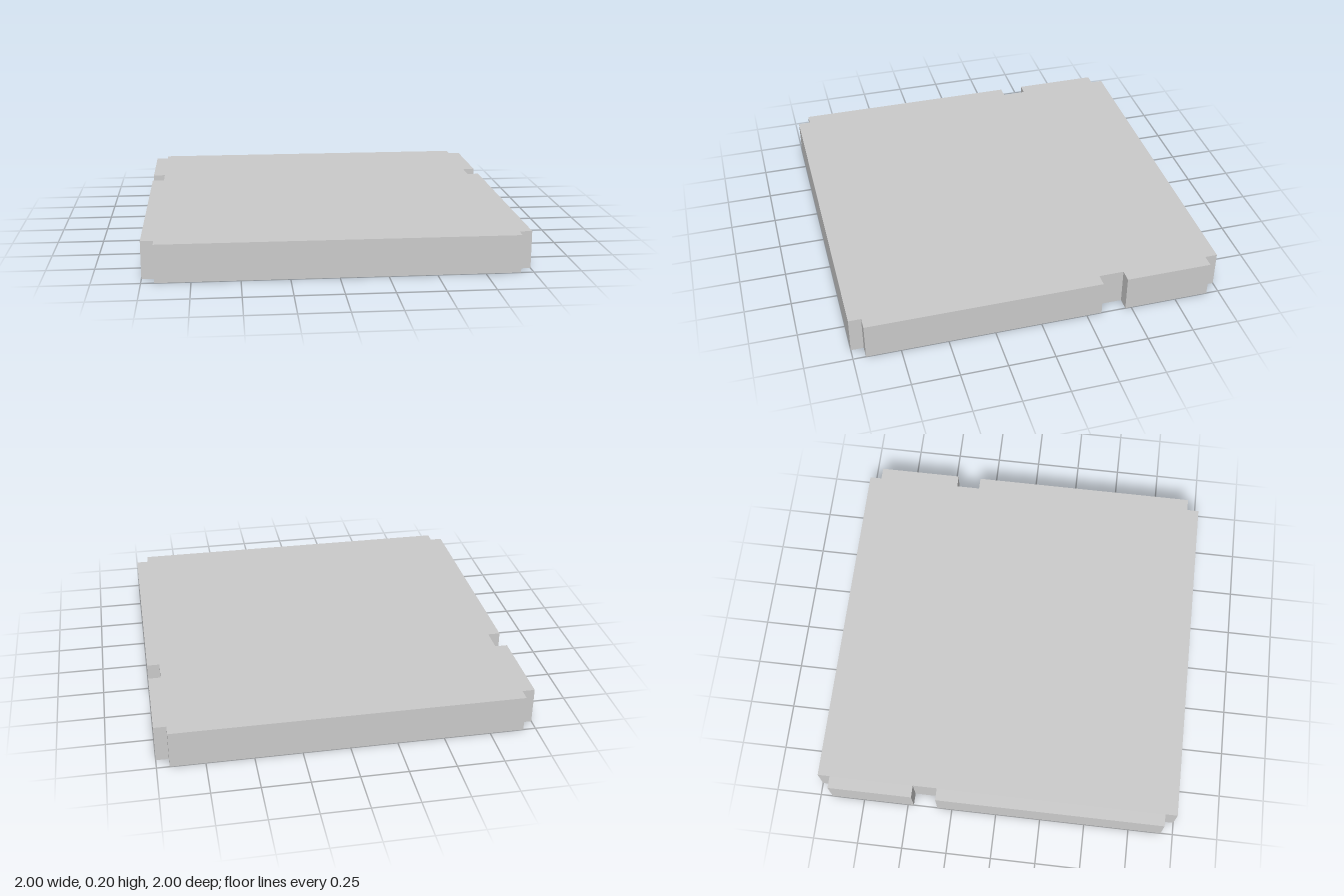
import * as THREE from 'three';

const HALF = 1;        // half width and half depth
const THICKNESS = 0.2;
const NOTCH = 0.067;   // depth of the corner and side cut-outs
const SLOT_Z = -0.4;   // centre of the side slots

export function createModel() {
  const group = new THREE.Group();
  const inner = HALF - NOTCH;

  // One side of the outline as [x, z], from front to back
  const side = [
    [inner, HALF], [inner, inner], [HALF, inner],
    [HALF, SLOT_Z + NOTCH], [inner, SLOT_Z + NOTCH],
    [inner, SLOT_Z - NOTCH], [HALF, SLOT_Z - NOTCH],
    [HALF, -inner], [inner, -inner], [inner, -HALF],
  ];
  const mirrored = side.map(([x, z]) => [-x, z]).reverse();
  const outline = [...side, ...mirrored].map(([x, z]) => new THREE.Vector2(x, -z));

  // Flat slab with notched corners and side slots
  const geometry = new THREE.ExtrudeGeometry(new THREE.Shape(outline), {
    depth: THICKNESS,
    bevelEnabled: false,
  });
  geometry.rotateX(-Math.PI / 2);

  const slab = new THREE.Mesh(
    geometry,
    new THREE.MeshStandardMaterial({ color: 0xcccccc, flatShading: true }),
  );
  slab.name = 'notchedSlab';
  group.add(slab);
  return group;
}
